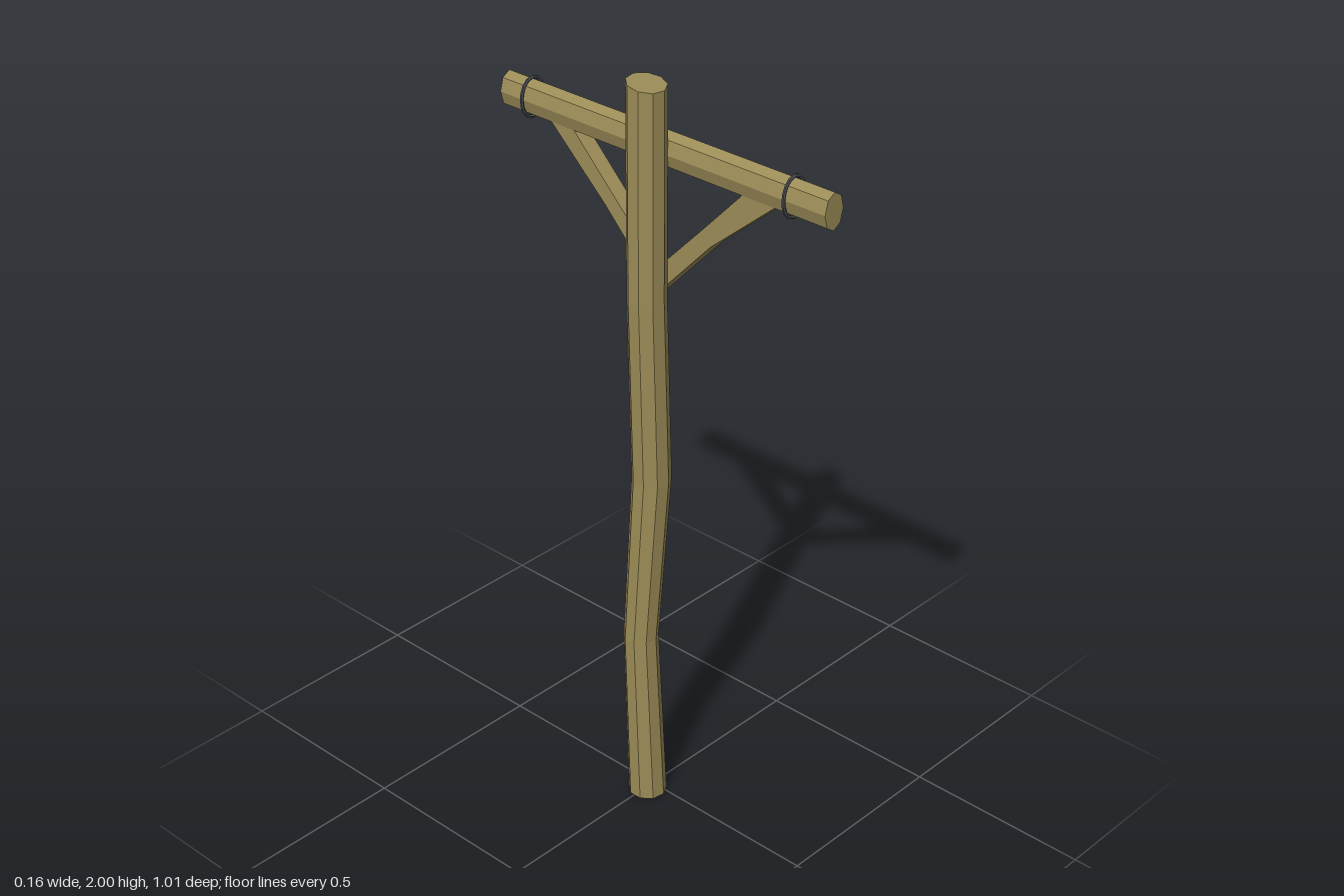
import * as THREE from 'three';

const wood = new THREE.MeshStandardMaterial({ color: 0x9b8c57, flatShading: true });
const iron = new THREE.MeshStandardMaterial({ color: 0x4a4d52, flatShading: true });

const BEAM = { x: 0.0385, y: 1.814, rx: 0.0315, ry: 0.047, length: 1.014 };

function addMesh(group, name, geometry, material) {
  const mesh = new THREE.Mesh(geometry, material);
  mesh.name = name;
  group.add(mesh);
  return mesh;
}

// Crooked nine-sided trunk: each ring is moved to its own centre, the top is cut at a slant
function poleGeometry() {
  const rings = [ // centre x, y, centre z, radius
    [-0.024, 0, 0.004, 0.05],
    [-0.036, 0.49, -0.007, 0.045],
    [-0.012, 0.95, 0.007, 0.05],
    [-0.025, 1.45, 0.004, 0.049],
    [-0.025, 1.992, 0.004, 0.049],
  ];
  const last = rings.length - 1;
  const geometry = new THREE.CylinderGeometry(1, 1, 1, 9, last, false, Math.PI / 2);
  const pos = geometry.attributes.position;
  for (let i = 0; i < pos.count; i++) {
    const k = Math.round((pos.getY(i) + 0.5) * last);
    const [cx, cy, cz, r] = rings[k];
    const slant = k === last ? -0.008 * pos.getZ(i) : 0;
    pos.setXYZ(i, cx + r * pos.getX(i), cy + slant, cz + r * pos.getZ(i));
  }
  geometry.computeVertexNormals();
  return geometry;
}

// V-shaped brace, drawn in the z-y plane and extruded sideways
function braceGeometry() {
  const outline = [
    [0, 1.445], [0.165, 1.62], [0.36, 1.785], [0.255, 1.785], [0.145, 1.662],
    [0, 1.512], [-0.165, 1.675], [-0.245, 1.785], [-0.35, 1.785], [-0.17, 1.62],
  ];
  // upper inner corners lie inside the beam
  outline[3][0] = 0.262;
  outline[7][0] = -0.275;
  const shape = new THREE.Shape(outline.map(([z, y]) => new THREE.Vector2(z, y)));
  return new THREE.ExtrudeGeometry(shape, { depth: 0.043, bevelEnabled: false })
    .rotateY(-Math.PI / 2)
    .translate(0.06, 0, 0);
}

// Thin oval hoop that hugs the beam
function bandGeometry() {
  const points = Array.from({ length: 16 }, (_, i) => {
    const a = (i / 16) * Math.PI * 2;
    return new THREE.Vector3(0.037 * Math.cos(a), 0.0505 * Math.sin(a), 0);
  });
  const path = new THREE.CatmullRomCurve3(points, true);
  return new THREE.TubeGeometry(path, 16, 0.0045, 6, true);
}

export function createModel() {
  const model = new THREE.Group();
  model.name = 'woodenUtilityPole';

  addMesh(model, 'pole', poleGeometry(), wood);

  // Oval eight-sided crossarm running front to back
  const beam = new THREE.CylinderGeometry(1, 1, BEAM.length, 8)
    .scale(BEAM.rx, 1, BEAM.ry)
    .rotateX(Math.PI / 2);
  addMesh(model, 'crossarm', beam, wood).position.set(BEAM.x, BEAM.y, 0);

  addMesh(model, 'brace', braceGeometry(), wood);

  // Iron bands near both ends of the crossarm
  const band = bandGeometry();
  for (const [name, z] of [['frontBand', 0.392], ['backBand', -0.429]]) {
    addMesh(model, name, band, iron).position.set(BEAM.x, BEAM.y, z);
  }
  return model;
}
